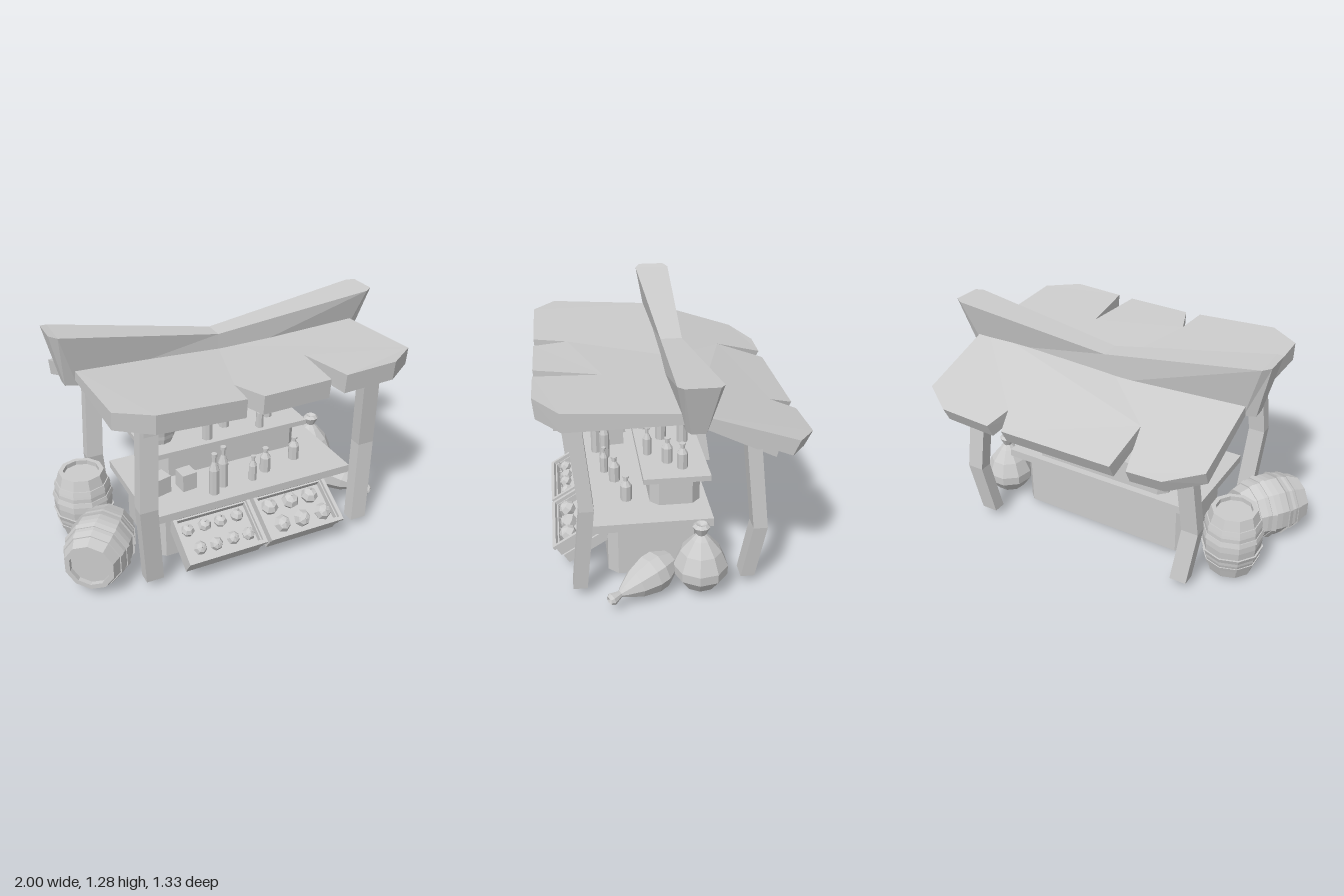
import * as THREE from 'three';

const V = (x, y, z) => new THREE.Vector3(x, y, z);
const mat = new THREE.MeshStandardMaterial({ color: 0xcccccc, flatShading: true, side: THREE.DoubleSide });

// Move every vertex of a geometry by a rule
function warp(geo, rule) {
  const p = geo.attributes.position, v = V(0, 0, 0);
  for (let i = 0; i < p.count; i++) {
    v.fromBufferAttribute(p, i);
    rule(v);
    p.setXYZ(i, v.x, v.y, v.z);
  }
  return geo;
}

function part(parent, name, geo, x = 0, y = 0, z = 0) {
  const g = geo.index ? geo.toNonIndexed() : geo;
  g.computeVertexNormals();
  const m = new THREE.Mesh(g, mat);
  m.name = name;
  m.position.set(x, y, z);
  parent.add(m);
  return m;
}

function group(parent, name, x = 0, y = 0, z = 0) {
  const g = new THREE.Group();
  g.name = name;
  g.position.set(x, y, z);
  parent.add(g);
  return g;
}

// Box given by its limits
function block(parent, name, x0, x1, y0, y1, z0, z1) {
  return part(parent, name, new THREE.BoxGeometry(x1 - x0, y1 - y0, z1 - z0), (x0 + x1) / 2, (y0 + y1) / 2, (z0 + z1) / 2);
}

const lathe = (pts, n) => new THREE.LatheGeometry(pts.map(([r, y]) => new THREE.Vector2(r, y)), n);
const polygon = pts => new THREE.Shape(pts.map(([x, y]) => new THREE.Vector2(x, y)));

// Upright prism with cut corners
function cutBlock(parent, name, x0, x1, y0, y1, z0, z1, c) {
  const s = polygon([[x0 + c, z0], [x1 - c, z0], [x1, z0 + c], [x1, z1 - c], [x1 - c, z1], [x0 + c, z1], [x0, z1 - c], [x0, z0 + c]]);
  const geo = new THREE.ExtrudeGeometry(s, { depth: y1 - y0, bevelEnabled: false });
  return part(parent, name, geo.rotateX(Math.PI / 2), 0, y1, 0);
}

// Sagging roof slabs with split edges
function addRoof(root) {
  const sag = x => -0.035 * Math.max(0, 1 - Math.abs(x - 0.06) / 0.7);
  const front = [[-0.76, -0.06], [0.06, -0.06], [0.88, -0.06], [0.88, 0.54], [0.71, 0.66], [0.42, 0.66], [0.38, 0.32],
    [0.33, 0.66], [-0.04, 0.66], [-0.11, 0.48], [-0.13, 0.66], [-0.59, 0.66], [-0.76, 0.54]];
  const back = [[-0.76, -0.06], [0.06, -0.06], [0.88, -0.06], [0.88, -0.56], [0.71, -0.67], [0.42, -0.67], [0.38, -0.54],
    [0.33, -0.67], [-0.31, -0.67], [-0.33, -0.4], [-0.4, -0.67], [-0.59, -0.67], [-0.76, -0.56]];
  const slab = (name, pts, rule) => part(root, name,
    warp(new THREE.ExtrudeGeometry(polygon(pts), { depth: 1, bevelEnabled: false }), v => {
      const [x, u, t] = v.toArray();
      const [y, z] = rule(u, t);
      v.set(x, y + sag(x), z);
    }));
  slab('frontRoof', front, (u, t) => {
    const k = (u + 0.06) / 0.72;
    return [1.06 + 0.045 * k - t * (0.05 + 0.055 * k), u - 0.01 * t * k];
  });
  slab('backRoof', back, (u, t) => {
    const k = (-0.06 - u) / 0.61;
    return [1.06 - 0.2 * k - t * (0.055 + 0.025 * k), u + 0.04 * t * k];
  });

  // Ridge beam, thick and raised at the ends
  const stations = [ // x top, x bottom, y top, y bottom, z half top, z half bottom
    [-0.88, -0.81, 1.28, 0.98, 0.075, 0.035], [-0.84, -0.75, 1.27, 0.975, 0.1, 0.05], [0.045, 0.045, 1.115, 0.945, 0.058, 0.055],
    [0.96, 0.87, 1.23, 0.975, 0.105, 0.05], [1, 0.93, 1.235, 0.985, 0.08, 0.035]];
  part(root, 'ridgeBeam', warp(new THREE.BoxGeometry(4, 2, 2, 4, 1, 1), v => {
    const [xt, xb, yt, yb, zt, zb] = stations[Math.round(v.x + 2)];
    const top = v.y > 0;
    v.set(top ? xt : xb, top ? yt : yb, -0.072 + v.z * (top ? zt : zb));
  }));

  // Bent rafters and posts on both sides
  const rafter = polygon([[0.57, 1.01], [0.57, 0.945], [0, 0.945], [-0.1, 0.93], [-0.49, 0.74], [-0.508, 0.81], [-0.1, 0.99], [0, 1.01]]);
  for (const [x, s] of [[-0.572, -1], [0.688, 1]]) {
    const geo = new THREE.ExtrudeGeometry(rafter, { depth: 0.1, bevelEnabled: false });
    part(root, 'rafter', geo.rotateY(-Math.PI / 2), x + 0.05, 0, 0);
    for (const [name, z, top, mid] of [['frontPost', 0.48, 0.98, 0.52], ['backPost', -0.38, 0.82, 0.36]]) {
      part(root, name, warp(new THREE.BoxGeometry(0.095, 2, 0.072, 1, 2, 1), v => {
        const bend = Math.abs(v.y) < 0.1;
        v.x += x + (bend ? 0.035 * s : 0);
        v.z += z + (bend ? -0.045 * s : 0);
        v.y = bend ? mid : v.y > 0 ? top : 0.05;
      }));
    }
  }
}

function addBarrel(root, x, y, z) {
  const b = group(root, 'barrel', x, y, z);
  part(b, 'staves', lathe([[0, -0.19], [0.125, -0.19], [0.155, -0.09], [0.162, 0], [0.155, 0.09], [0.125, 0.19],
    [0.1, 0.19], [0.1, 0.165], [0, 0.165]], 10));
  for (const [h, r] of [[-0.12, 0.152], [0.12, 0.152], [-0.055, 0.165], [0.055, 0.165]])
    part(b, 'hoop', new THREE.CylinderGeometry(r + (h < 0 ? 0.004 : -0.004), r + (h < 0 ? -0.004 : 0.004), 0.025, 10), 0, h, 0);
  return b;
}

function addSack(root, x, y, z) {
  return part(root, 'sack', lathe([[0, 0], [0.085, 0], [0.138, 0.07], [0.14, 0.12], [0.105, 0.2], [0.05, 0.265],
    [0.024, 0.29], [0.045, 0.335], [0.03, 0.35], [0, 0.335]], 9), x, y, z);
}

// Tilted produce crate
function addCrate(root, x, cols, r) {
  const c = group(root, 'crate', x, 0.235, 0.49);
  c.rotation.x = 0.55;
  block(c, 'crateBed', -0.2, 0.2, -0.13, -0.055, -0.12, 0.12);
  for (const [y0, y1, w, d] of [[-0.135, -0.08, 0.215, 0.128], [-0.07, -0.02, 0.22, 0.134], [-0.02, 0, 0.227, 0.143]]) {
    for (const s of [-1, 1]) {
      block(c, 'crateSide', s * w - 0.01, s * w + 0.01, y0, y1, -d, d).position.x -= s * 0.01;
      block(c, 'crateEnd', -w + 0.02, w - 0.02, y0, y1, s * d - 0.01, s * d + 0.01).position.z -= s * 0.01;
    }
  }
  for (let i = 0; i < cols; i++) for (const row of [-1, 1]) {
    const fx = (i - (cols - 1) / 2) * 0.38 / cols + row * 0.012, fz = row * 0.058;
    const fruit = group(c, 'fruit', fx, -0.035 + 0.006 * ((i * 2 + row) % 3), fz);
    fruit.rotation.set(0.3 * row, i * 1.3, 0.2 * (i % 2));
    part(fruit, 'fruitFlesh', new THREE.SphereGeometry(r, 7, 4).scale(1, 0.85, 1));
    part(fruit, 'fruitStem', new THREE.CylinderGeometry(0.004, 0.004, 0.025, 4), 0, r * 0.9, 0);
    if (cols === 3) part(fruit, 'fruitLeaf', new THREE.ConeGeometry(r * 0.6, 0.012, 5), 0, r * 0.85, 0);
  }
}

export function createModel() {
  const root = new THREE.Group();
  root.name = 'marketStall';
  addRoof(root);

  // Counter and raised shelf
  cutBlock(root, 'counterBody', -0.48, 0.59, 0.02, 0.325, -0.17, 0.325, 0.05);
  block(root, 'counterTop', -0.55, 0.66, 0.32, 0.365, -0.21, 0.42);
  cutBlock(root, 'shelfBody', -0.355, 0.5, 0.365, 0.515, -0.17, 0.095, 0.045);
  block(root, 'shelfTop', -0.43, 0.54, 0.515, 0.545, -0.215, 0.135);
  addCrate(root, -0.188, 4, 0.038);
  addCrate(root, 0.29, 3, 0.05);

  // Bottles: x, base y, z, height, radius
  for (const [x, y, z, h, r] of [
    [-0.065, 0.545, 0.075, 0.245, 0.031], [0.08, 0.545, -0.01, 0.245, 0.031], [0.13, 0.545, -0.125, 0.245, 0.031],
    [0.26, 0.545, 0.085, 0.155, 0.023], [0.36, 0.545, -0.01, 0.14, 0.029], [0.43, 0.545, -0.08, 0.14, 0.029],
    [-0.15, 0.365, 0.34, 0.245, 0.029], [-0.075, 0.365, 0.295, 0.245, 0.029],
    [0.1, 0.365, 0.31, 0.15, 0.023], [0.205, 0.365, 0.26, 0.145, 0.031], [0.415, 0.365, 0.215, 0.14, 0.031]])
    part(root, 'bottle', lathe([[0, 0], [r, 0], [r, h * 0.6], [r * 0.4, h * 0.8], [r * 0.4, h * 0.93],
      [r * 0.58, h * 0.93], [r * 0.58, h], [0, h]], 8), x, y, z);

  // Small boxes on the counter
  for (const [x, z, a] of [[-0.405, 0.2, 0.25], [-0.26, 0.22, 0.1]])
    part(root, 'smallBox', new THREE.BoxGeometry(0.085, 0.1, 0.085), x, 0.415, z).rotation.y = a;

  // Fruit basket on the shelf
  const basket = group(root, 'basket', -0.312, 0.545, -0.04);
  part(basket, 'basketWall', lathe([[0, 0], [0.08, 0], [0.105, 0.115], [0.092, 0.115], [0.088, 0.09], [0, 0.09]], 10));
  for (const [y, r] of [[0.045, 0.094], [0.1, 0.107]])
    part(basket, 'basketBand', new THREE.CylinderGeometry(r + 0.002, r, 0.022, 10, 1, true), 0, y, 0);
  for (let i = 0; i < 6; i++) {
    const a = i * Math.PI / 2.5, d = i < 5 ? 0.052 : 0;
    part(basket, 'basketFruit', new THREE.SphereGeometry(0.034, 6, 4), d * Math.cos(a), i < 5 ? 0.1 : 0.118, d * Math.sin(a));
  }

  // Barrels at the right end
  addBarrel(root, -0.745, 0.22, -0.118);
  const lying = addBarrel(root, -0.785, 0.185, 0.285);
  lying.quaternion.setFromUnitVectors(V(0, 1, 0), V(-0.59, 0, 0.81).normalize());
  lying.scale.set(1.08, 1, 1.08);

  // Sacks at the left end
  addSack(root, 0.745, 0.045, -0.13);
  const fallen = addSack(root, 0.69, 0.145, 0.02);
  fallen.quaternion.setFromUnitVectors(V(0, 1, 0), V(0.2, -0.07, 0.33).normalize());
  fallen.scale.set(0.72, 1.1, 0.72);
  return root;
}
